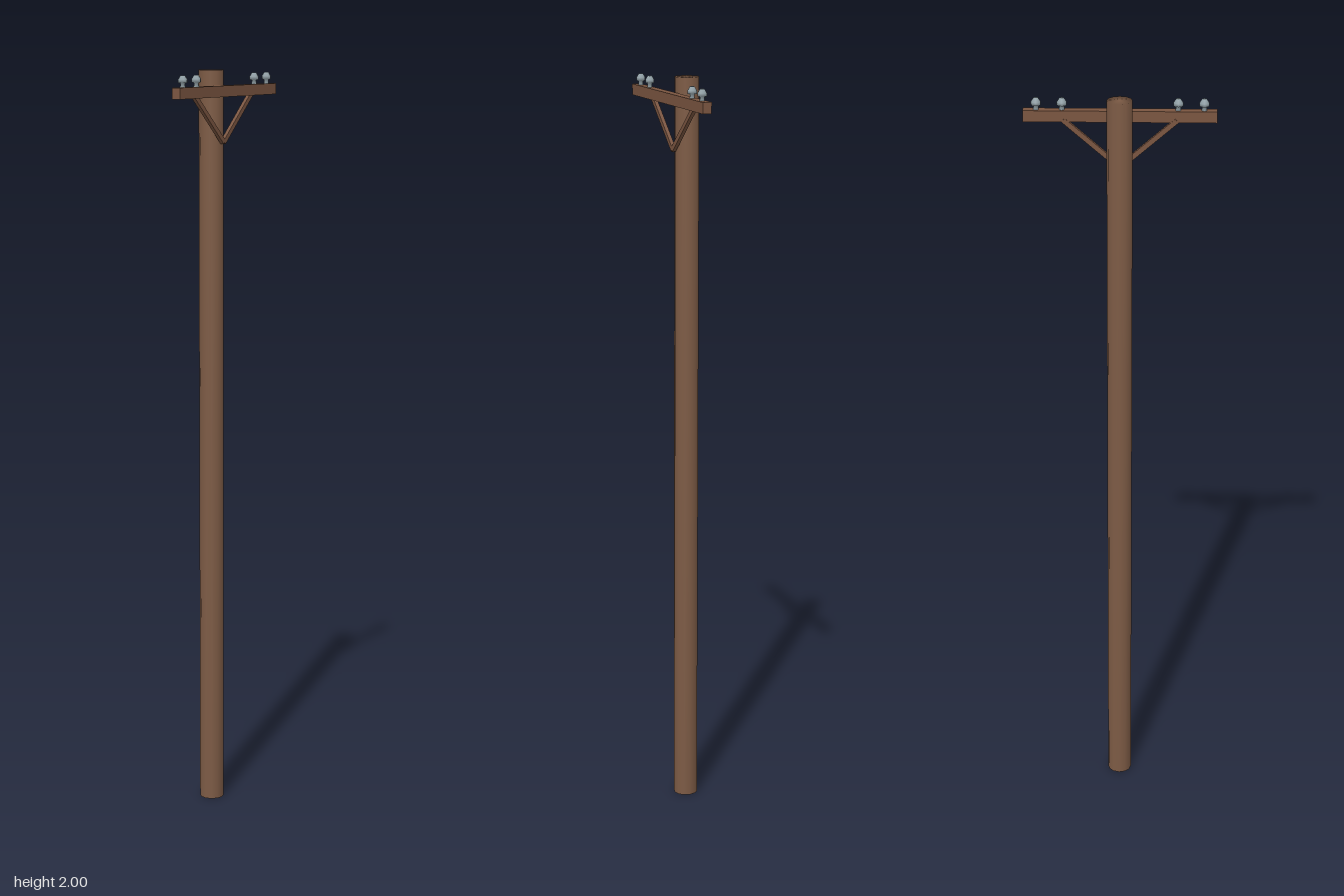
import * as THREE from 'three';
import { mergeVertices } from 'three/addons/utils/BufferGeometryUtils.js';

const mat = (name, color) => {
  const m = new THREE.MeshStandardMaterial({ color });
  m.name = name;
  return m;
};

// Shared rim normals, so the shading runs softly over the pole ends
function softened(geometry) {
  geometry.deleteAttribute('uv');
  geometry.deleteAttribute('normal');
  const merged = mergeVertices(geometry);
  merged.computeVertexNormals();
  return merged;
}

export function createModel() {
  const group = new THREE.Group();
  group.name = 'utilityPole';
  group.rotation.y = 0.584; // the crossarm runs diagonally

  const poleWood = mat('poleBrown', 0x7d5b45);
  const armWood = mat('armBrown', 0x7a5540);
  const glass = mat('insulatorGrey', 0x8f9ea4);

  const add = (name, geometry, material, x, y, z) => {
    const mesh = new THREE.Mesh(geometry, material);
    mesh.name = name;
    mesh.position.set(x, y, z);
    group.add(mesh);
    return mesh;
  };

  // Pole behind the crossarm
  add('pole', softened(new THREE.CylinderGeometry(0.0325, 0.0325, 2, 12)), poleWood, 0, 1, -0.0455);

  // Crossarm
  add('crossarm', new THREE.BoxGeometry(0.488, 0.029, 0.024), armWood, 0, 1.9455, 0);

  // Insulator: narrow stem, wide skirt, tapered flat top
  const profile = [[0.007, 0], [0.006, 0.01], [0.0125, 0.012], [0.0125, 0.02], [0.006, 0.03], [0, 0.03]]
    .map(([r, y]) => new THREE.Vector2(r, y));
  const insulator = new THREE.LatheGeometry(profile, 8);

  const top = new THREE.Vector2(0.143, 1.936);
  const foot = new THREE.Vector2(0, 1.812);
  const length = top.distanceTo(foot);
  const angle = Math.atan2(top.y - foot.y, top.x - foot.x);

  for (const side of [-1, 1]) {
    // Diagonal braces from the pole to the arm
    const brace = add('brace', new THREE.BoxGeometry(length, 0.013, 0.01), armWood,
      side * top.x / 2, (top.y + foot.y) / 2, -0.008);
    brace.rotation.z = side * angle;

    for (const x of [0.146, 0.211]) add('insulator', insulator, glass, side * x, 1.96, 0);
  }

  const model = new THREE.Group();
  model.add(group);
  return model;
}
